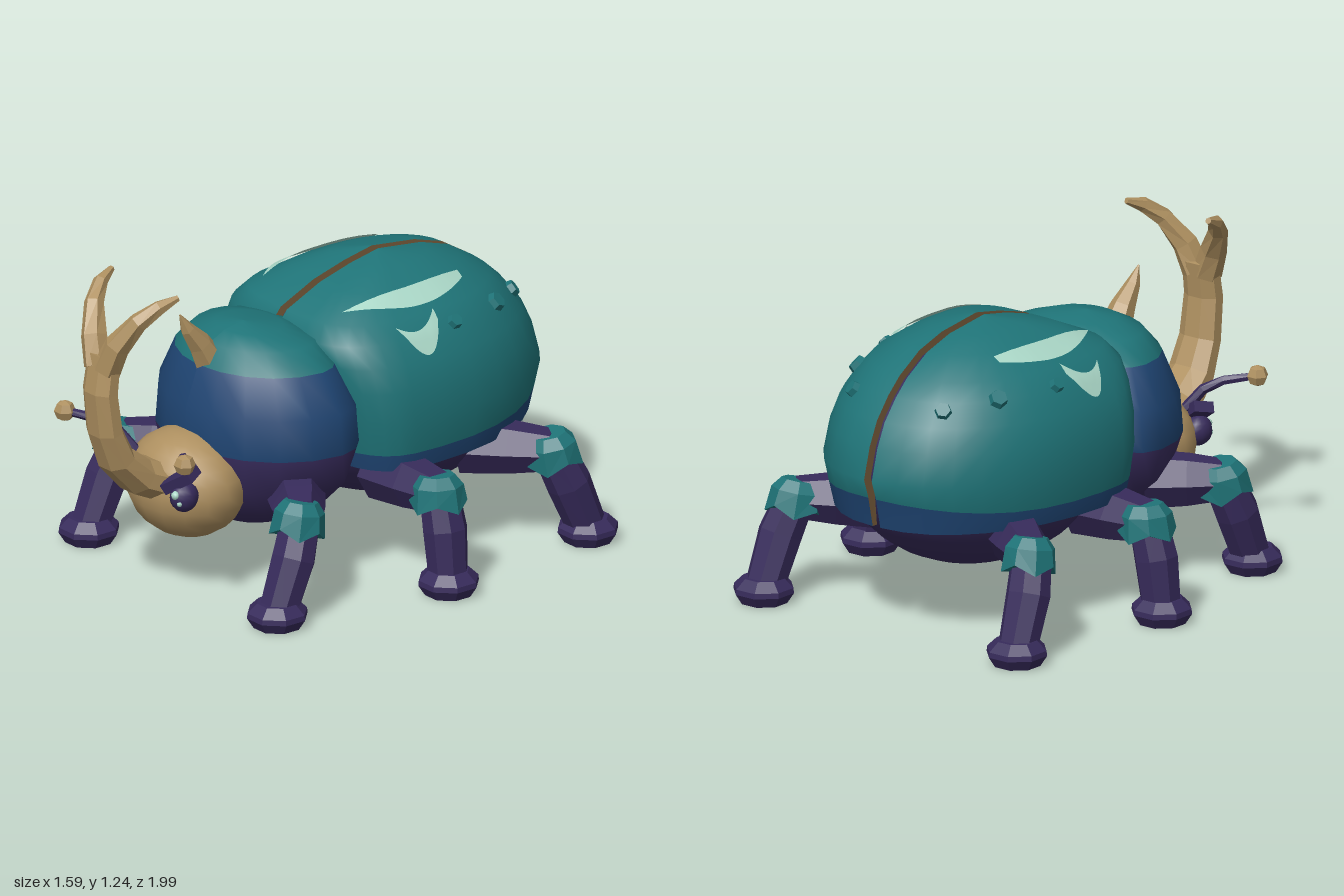
import * as THREE from 'three';

const mat = (name, color, side = THREE.FrontSide) => {
  const m = new THREE.MeshStandardMaterial({ color, side });
  m.name = name;
  return m;
};
const V = (x, y, z) => new THREE.Vector3(x, y, z);

export function createModel() {
  const root = new THREE.Group();
  root.name = 'hornedBeetle';
  const teal = mat('teal', 0x1f7478), blue = mat('blue', 0x1f4573);
  const purple = mat('purple', 0x372b5b), tan = mat('tan', 0xae9060);
  const mint = mat('mint', 0xabd8c8, THREE.DoubleSide);
  const brown = mat('brown', 0x7a5e3c, THREE.DoubleSide);

  const build = (pos, idx, flat) => {
    let g = new THREE.BufferGeometry();
    g.setAttribute('position', new THREE.Float32BufferAttribute(pos, 3));
    g.setIndex(idx);
    if (flat) g = g.toNonIndexed();
    g.computeVertexNormals();
    return g;
  };
  const facet = (g) => {
    const f = g.toNonIndexed();
    f.computeVertexNormals();
    return f;
  };
  const add = (name, geo, material, x = 0, y = 0, z = 0) => {
    const m = new THREE.Mesh(geo, material);
    m.name = name;
    m.position.set(x, y, z);
    root.add(m);
    return m;
  };
  // Mirrored copy across x = 0 with corrected winding
  const mirror = (mesh) => {
    mesh.updateMatrix();
    let g = mesh.geometry.clone().applyMatrix4(mesh.matrix);
    if (g.index) g = g.toNonIndexed();
    g.applyMatrix4(new THREE.Matrix4().makeScale(-1, 1, 1));
    for (const key of ['position', 'normal']) {
      const a = g.attributes[key], p = V(0, 0, 0), q = V(0, 0, 0);
      for (let i = 0; i < a.count; i += 3) {
        p.fromBufferAttribute(a, i + 1);
        q.fromBufferAttribute(a, i + 2);
        a.setXYZ(i + 1, q.x, q.y, q.z);
        a.setXYZ(i + 2, p.x, p.y, p.z);
      }
    }
    add(mesh.name.replace('left', 'right'), g, mesh.material);
  };

  // Dome from level rings [y, halfWidth, zCentre, zFront, zBack, rise towards the back]
  const dome = (levels, turn, steps, gap, blunt, bands) => {
    const pos = [], idx = [], w = steps + 1;
    for (const [y, a, zc, zf, zb, rise = 0] of levels) for (let j = 0; j <= steps; j++) {
      const t = (turn * j) / steps, c = Math.cos(t), s = Math.sin(t);
      const e = c > 0 ? blunt : 0.94;
      const sx = Math.abs(s) < 1e-6 ? 0 : Math.sign(s) * Math.abs(s) ** e;
      const cz = Math.abs(c) ** e;
      pos.push(gap + Math.max(a - gap, 0) * sx, y + rise * Math.max(0, -c) ** 3, zc + (c > 0 ? zf - zc : zb - zc) * cz);
    }
    for (let i = 0; i < levels.length - 1; i++) for (let j = 0; j < steps; j++) {
      const p = i * w + j;
      idx.push(p, p + 1, p + w, p + 1, p + w + 1, p + w);
    }
    const g = build(pos, idx);
    let row = 0;
    bands.forEach((n, k) => { g.addGroup(row * steps * 6, n * steps * 6, k); row += n; });
    return g;
  };

  // Faceted tapering limb through points
  const limb = (pts, radii, sides, ref = V(1, 0, 0)) => {
    const pos = [], idx = [], n = pts.length;
    pts.forEach((p, i) => {
      const t = pts[Math.min(i + 1, n - 1)].clone().sub(pts[Math.max(i - 1, 0)]).normalize();
      const u = ref.clone().addScaledVector(t, -ref.dot(t)).normalize();
      const v = t.clone().cross(u);
      const [ru, rv] = [].concat(radii[i], radii[i]);
      for (let k = 0; k < sides; k++) {
        const a = ((k + 0.5) / sides) * Math.PI * 2;
        const q = p.clone().addScaledVector(u, ru * Math.cos(a)).addScaledVector(v, rv * Math.sin(a));
        pos.push(q.x, q.y, q.z);
      }
    });
    pos.push(...pts[0].toArray(), ...pts[n - 1].toArray());
    for (let k = 0; k < sides; k++) {
      const k1 = (k + 1) % sides, e = (n - 1) * sides;
      for (let i = 0; i < n - 1; i++) {
        const a = i * sides + k, b = i * sides + k1;
        idx.push(a, b, a + sides, b, b + sides, a + sides);
      }
      idx.push(n * sides, k1, k, n * sides + 1, e + k, e + k1);
    }
    return build(pos, idx, true);
  };

  // Body
  add('abdomen', new THREE.SphereGeometry(1, 24, 16).scale(0.47, 0.42, 0.55), purple, 0, 0.6, -0.38);
  add('thorax', dome([
    [0.17, 0, 0.22, 0.22, 0.22], [0.21, 0.14, 0.2, 0.35, 0.06], [0.28, 0.27, 0.18, 0.45, 0],
    [0.4, 0.39, 0.16, 0.52, -0.04], [0.545, 0.443, 0.16, 0.55, -0.08, 0.04], [0.7, 0.43, 0.16, 0.54, -0.08],
    [0.848, 0.352, 0.18, 0.485, 0], [0.92, 0.262, 0.21, 0.43, 0.04], [0.955, 0.14, 0.25, 0.36, 0.13],
    [0.97, 0, 0.27, 0.27, 0.27]], Math.PI * 2, 20, 0, 1, [4, 2, 3]), [purple, blue, teal]);
  add('head', new THREE.SphereGeometry(1, 16, 12).scale(0.25, 0.205, 0.21), tan, 0, 0.405, 0.54);

  // Wing cases with seam and rim walls
  const steps = 16, levels = [
    [0.43, 0.49, -0.25, 0.045, -0.95], [0.495, 0.503, -0.26, 0.06, -0.975, 0.05], [0.62, 0.514, -0.27, 0.085, -1],
    [0.74, 0.498, -0.27, 0.105, -0.967], [0.83, 0.466, -0.28, 0.12, -0.925], [0.91, 0.415, -0.29, 0.128, -0.86],
    [0.97, 0.36, -0.31, 0.08, -0.795], [1.04, 0.25, -0.33, -0.075, -0.68], [1.08, 0.155, -0.34, -0.22, -0.55],
    [1.105, 0.02, -0.35, -0.35, -0.35]];
  const wing = add('leftWingCase', dome(levels, Math.PI, steps, 0.018, 0.6, [1, 8]), [blue, teal]);
  mirror(wing);
  const edge = [], wp = wing.geometry.attributes.position, rows = levels.length;
  for (let i = 0; i < rows; i++) edge.push(i * (steps + 1));
  for (let i = rows - 2; i >= 0; i--) edge.push(i * (steps + 1) + steps);
  for (let j = steps - 1; j >= 0; j--) edge.push(j);
  const ePos = [], eIdx = [];
  edge.forEach((id, i) => {
    const p = V(0, 0, 0).fromBufferAttribute(wp, id);
    const rim = i >= 2 * rows - 2, k = rim ? 0.96 : 0.94;
    ePos.push(p.x, p.y, p.z, rim ? p.x * k : p.x, rim ? p.y : 0.62 + (p.y - 0.62) * k, -0.35 + (p.z + 0.35) * k);
    if (i) eIdx.push(2 * i - 2, 2 * i - 1, 2 * i, 2 * i - 1, 2 * i + 1, 2 * i);
  });
  mirror(add('leftWingEdge', build(ePos, eIdx, true), brown));

  // Point just above the wing case at (x, z)
  const ray = new THREE.Raycaster();
  wing.updateMatrixWorld();
  const onWing = (x, z, lift) => {
    ray.set(V(x, 3, z), V(0, -1, 0));
    const { point, face } = ray.intersectObject(wing)[0];
    return { p: point.addScaledVector(face.normal, lift), n: face.normal };
  };

  // Crescent markings
  const crescent = (name, xa, za, xb, zb, inner, outer) => {
    const pos = [], idx = [], n = 20, m = 4;
    for (let i = 0; i <= n; i++) for (let j = 0; j <= m; j++) {
      const u = i / n, bulge = 4 * u * (1 - u) * (inner + ((outer - inner) * j) / m);
      const end = (j / m - 0.5) * 0.03 * (1 - u);
      pos.push(...onWing(xa + (xb - xa) * u + bulge + end, za + (zb - za) * u, 0.009).p.toArray());
      if (i < n && j < m) {
        const a = i * (m + 1) + j;
        idx.push(a, a + m + 1, a + 1, a + 1, a + m + 1, a + m + 2);
      }
    }
    mirror(add(name, build(pos, idx), mint));
  };
  crescent('leftLongMarking', 0.24, -0.55, 0.23, -0.01, 0.028, 0.09);
  crescent('leftShortMarking', 0.37, -0.33, 0.375, -0.14, 0.035, 0.075);

  // Wing case studs
  for (const [x, z, r] of [[0.21, -0.82, 0.036], [0.33, -0.65, 0.04], [0.4, -0.4, 0.032]]) {
    const { p, n } = onWing(x, z, 0.005);
    const stud = add('leftStud', facet(new THREE.CylinderGeometry(r * 0.78, r, 0.034, 6)), teal, p.x, p.y, p.z);
    stud.quaternion.setFromUnitVectors(V(0, 1, 0), n);
    mirror(stud);
  }

  // Horns
  add('mainHorn', limb([V(0, 0.42, 0.62), V(0, 0.49, 0.78), V(0, 0.58, 0.875), V(0, 0.7, 0.925),
    V(0, 0.86, 0.945), V(0, 1, 0.925)],
  [[0.125, 0.08], [0.108, 0.075], [0.096, 0.064], [0.088, 0.056], [0.082, 0.054], [0.078, 0.05]], 8), tan);
  mirror(add('leftHornProng', limb([V(0.025, 0.95, 0.935), V(0.068, 1.05, 0.92), V(0.13, 1.15, 0.87),
    V(0.172, 1.205, 0.805), V(0.194, 1.232, 0.735)], [0.056, 0.05, 0.037, 0.028, 0.012], 6), tan));
  add('thoraxHorn', limb([V(0, 0.84, 0.425), V(0, 0.93, 0.478), V(0, 1.0, 0.535), V(0, 1.065, 0.57)],
    [0.064, 0.047, 0.028, 0.003], 6), tan);

  // Face
  mirror(add('leftEye', new THREE.SphereGeometry(1, 12, 10).scale(0.05, 0.058, 0.056), purple, 0.18, 0.435, 0.695));
  mirror(add('leftEyeGlint', new THREE.SphereGeometry(0.017, 8, 6), mint, 0.187, 0.452, 0.741));
  mirror(add('leftSmallEyeGlint', new THREE.SphereGeometry(0.011, 6, 5), mint, 0.204, 0.422, 0.736));
  const brow = add('leftBrow', new THREE.BoxGeometry(0.135, 0.042, 0.08), purple, 0.165, 0.5, 0.7);
  brow.rotation.set(0.2, 0.45, 0.48);
  mirror(brow);
  mirror(add('leftAntenna', limb([V(0.13, 0.5, 0.66), V(0.19, 0.59, 0.71), V(0.25, 0.625, 0.755), V(0.35, 0.645, 0.83)],
    [0.022, 0.02, 0.018, 0.015], 6), purple));
  mirror(add('leftAntennaTip', facet(new THREE.SphereGeometry(0.041, 6, 4)), tan, 0.35, 0.645, 0.83));

  // Legs: hip, knee, foot
  const legs = {
    Front: [V(0.29, 0.375, 0.26), V(0.52, 0.38, 0.42), V(0.55, 0.05, 0.555)],
    Middle: [V(0.3, 0.375, -0.13), V(0.63, 0.38, -0.145), V(0.69, 0.05, -0.14)],
    Rear: [V(0.29, 0.375, -0.53), V(0.56, 0.38, -0.735), V(0.6, 0.05, -0.87)],
  };
  for (const [name, [hip, knee, foot]] of Object.entries(legs)) {
    const mid = hip.clone().lerp(knee, 0.55);
    mirror(add(`left${name}Thigh`, limb([hip, mid, knee], [0.112, 0.1, 0.08], 6, V(0, 1, 0)), purple));
    const shin = knee.clone().lerp(foot, 0.4).add(V(0.012, 0, 0));
    mirror(add(`left${name}Shin`, limb([knee, shin, foot], [0.076, 0.084, 0.074], 8), purple));
    // Knee guard with a zigzag lower edge, longer along the thigh
    const guard = new THREE.CylinderGeometry(0.064, 0.104, 0.13, 8, 2);
    const gp = guard.attributes.position;
    for (let i = 0; i < gp.count; i++) {
      const x = gp.getX(i), z = gp.getZ(i), y = gp.getY(i);
      const k = Math.round(Math.atan2(x, z) / (Math.PI / 4));
      if (Math.abs(y) < 0.01) gp.setXYZ(i, x * 1.12, 0.025, z * 1.12);
      else if (y < 0 && Math.hypot(x, z) > 0.01) gp.setY(i, y + (k % 2 ? 0.03 : -0.005));
    }
    guard.scale(1, 1, 1.08).rotateY(Math.atan2(knee.x - hip.x, knee.z - hip.z));
    const g = add(`left${name}KneeGuard`, facet(guard), teal, knee.x - 0.01, knee.y + 0.004, knee.z);
    g.quaternion.setFromUnitVectors(V(0, 1, 0), knee.clone().sub(foot).normalize().lerp(V(0, 1, 0), 0.5).normalize());
    mirror(g);
    // Flared level foot
    const sole = [0.005, 0.045, 0.065, 0.1].map((y) => V(foot.x, y, foot.z));
    mirror(add(`left${name}Foot`, limb(sole, [0.09, 0.116, 0.114, 0.078], 8), purple));
  }
  return root;
}
